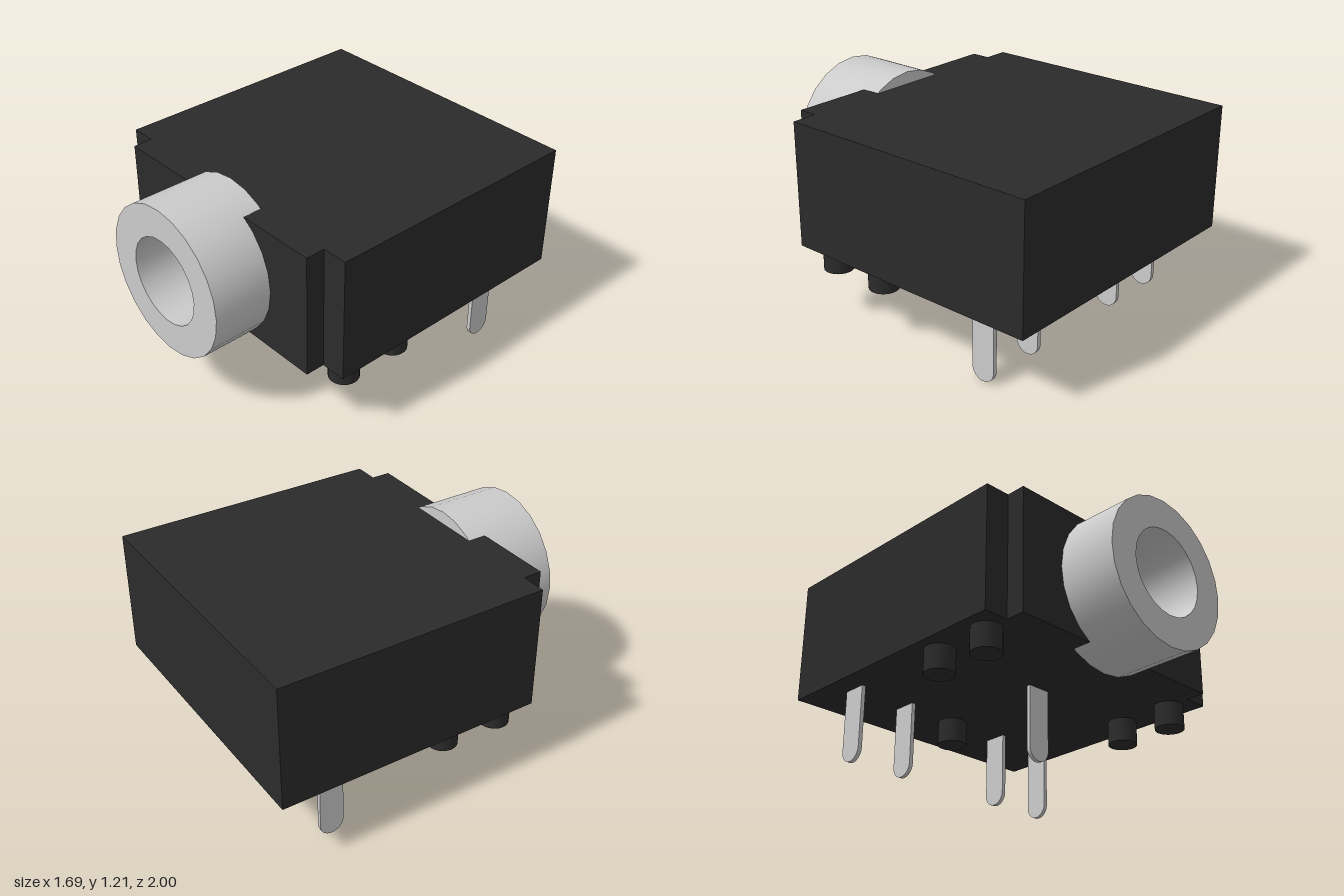
import * as THREE from 'three';
import { toCreasedNormals } from 'three/addons/utils/BufferGeometryUtils.js';

export function createModel() {
  const group = new THREE.Group();
  const black = new THREE.MeshStandardMaterial({ color: 0x2b2b2b });
  const dark = new THREE.MeshStandardMaterial({ color: 0x0f0f0f });
  const metal = new THREE.MeshStandardMaterial({ color: 0xcccccc });
  const metalThin = new THREE.MeshStandardMaterial({ color: 0xcccccc, side: THREE.DoubleSide });

  const bottom = 0.425, top = 1.14, axisY = 0.785;
  const outerR = 0.427, boreR = 0.247, boreEnd = 0.1, shoulderZ = 0.55;

  function add(name, geometry, material, x = 0, y = 0, z = 0) {
    const mesh = new THREE.Mesh(geometry, material);
    mesh.name = name;
    mesh.position.set(x, y, z);
    group.add(mesh);
    return mesh;
  }

  function extrude(shape, depth) {
    const g = new THREE.ExtrudeGeometry(shape, { depth, bevelEnabled: false, curveSegments: 12 });
    return toCreasedNormals(g, 0.6);
  }

  function circleHole(r) {
    return new THREE.Path().absarc(0, 0, r, 0, Math.PI * 2, true);
  }

  // Rectangular housing slice with a round opening on the socket axis
  function boredSlab(halfW, depth) {
    const lo = bottom - axisY, hi = top - axisY;
    const s = new THREE.Shape();
    s.moveTo(-halfW, lo).lineTo(halfW, lo).lineTo(halfW, hi).lineTo(-halfW, hi).closePath();
    s.holes.push(circleHole(boreR + 0.015));
    return extrude(s, depth);
  }

  // Housing: solid rear, bored front and the narrower front step
  add('housingRear', new THREE.BoxGeometry(1.69, top - bottom, boreEnd + 1), black,
    0, (top + bottom) / 2, (boreEnd - 1) / 2);
  add('housingFront', boredSlab(0.845, shoulderZ - boreEnd), black, 0, axisY, boreEnd);
  add('frontStep', boredSlab(0.7, 0.11), black, 0, axisY, shoulderZ);

  // Metal barrel, its inner sleeve and the dark end of the bore
  const ring = new THREE.Shape().absarc(0, 0, outerR, 0, Math.PI * 2, false);
  ring.holes.push(circleHole(boreR));
  add('barrel', extrude(ring, 1 - shoulderZ), metal, 0, axisY, shoulderZ);
  const sleeve = new THREE.CylinderGeometry(boreR, boreR, shoulderZ - boreEnd, 24, 1, true);
  sleeve.rotateX(Math.PI / 2);
  add('boreSleeve', sleeve, metalThin, 0, axisY, (shoulderZ + boreEnd) / 2);
  add('boreEnd', new THREE.CircleGeometry(boreR + 0.01, 24), dark, 0, axisY, boreEnd + 0.005);

  // Locating pegs
  const peg = new THREE.CylinderGeometry(0.084, 0.084, 0.16, 24);
  const pegSpots = [[0, -0.645]];
  for (const side of [-1, 1]) pegSpots.push([side * 0.705, 0.41], [side * 0.705, 0.06]);
  for (const [x, z] of pegSpots) add('peg', peg, black, x, 0.365, z);

  // Flat contact pins with rounded tips
  const r = 0.07, thick = 0.024;
  const pinShape = new THREE.Shape();
  pinShape.moveTo(r, bottom + 0.02).lineTo(-r, bottom + 0.02).lineTo(-r, r);
  pinShape.absarc(0, r, r, Math.PI, Math.PI * 2, false);
  pinShape.closePath();
  const pin = extrude(pinShape, thick).translate(0, 0, -thick / 2);
  add('frontPin', pin, metal, 0, 0, 0.06);
  for (const x of [-0.705, -0.353, 0.353, 0.705]) {
    add('rearPin', pin, metal, x, 0, -0.645).rotation.y = Math.PI / 2;
  }

  return group;
}
